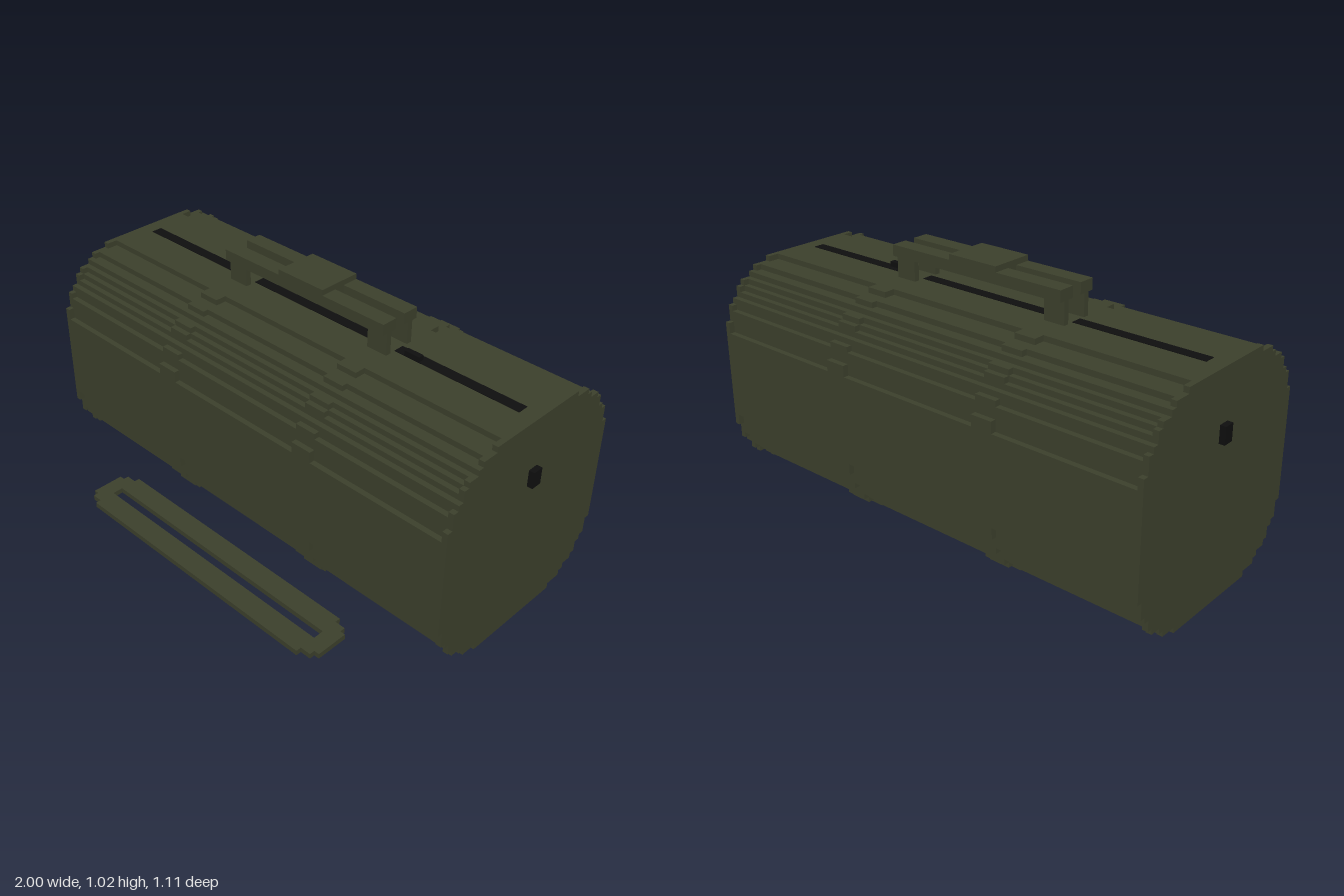
import * as THREE from 'three';

// Everything sits on a block grid: 46 blocks to one unit
const U = 1 / 46;
const BAG_Z = -0.118;
const BAG_Y = 20 * U;

const material = (name, color) => {
  const m = new THREE.MeshStandardMaterial({ color });
  m.name = name;
  return m;
};

// Stepped outline from one quadrant of corners [half width, half height]
function steppedShape(corners) {
  const quarter = [];
  corners.forEach(([a, b], i) => {
    if (i > 0) quarter.push([a, corners[i - 1][1]]);
    quarter.push([a, b]);
  });
  const back = [...quarter].reverse();
  const points = [
    ...quarter,
    ...back.map(([a, b]) => [-a, b]),
    ...quarter.map(([a, b]) => [-a, -b]),
    ...back.map(([a, b]) => [a, -b]),
  ];
  return new THREE.Shape(points.map(([a, b]) => new THREE.Vector2(a * U, b * U)));
}

export function createModel() {
  const fabric = material('olive fabric', 0x3c402c);
  const black = material('black trim', 0x0f0f0f);
  const model = new THREE.Group();
  model.name = 'duffelBag';

  const add = (parent, name, geometry, mat) => {
    const mesh = new THREE.Mesh(geometry, mat);
    mesh.name = name;
    parent.add(mesh);
    return mesh;
  };

  const bag = new THREE.Group();
  bag.name = 'bag';
  bag.position.set(0, BAG_Y, BAG_Z);
  model.add(bag);

  // Box from block limits, measured from the centre of the bag
  const box = (name, [x0, x1], [y0, y1], [z0, z1], mat) => {
    const g = new THREE.BoxGeometry((x1 - x0) * U, (y1 - y0) * U, (z1 - z0) * U);
    g.translate((x0 + x1) / 2 * U, (y0 + y1) / 2 * U, (z0 + z1) / 2 * U);
    return add(bag, name, g, mat);
  };

  // Body panels, with fuller bands and end rims between them
  const panelShape = steppedShape([[20, 8], [19, 12], [18, 14], [17, 15], [16, 16],
    [15, 17], [14, 18], [12, 19], [8, 20]]);
  const bandShape = steppedShape([[20, 10], [19, 13], [18, 14], [17, 16], [16, 17],
    [14, 18], [13, 19], [10, 20]]);
  const section = (name, shape, x0, x1) => {
    const g = new THREE.ExtrudeGeometry(shape, { depth: (x1 - x0) * U, bevelEnabled: false });
    g.rotateY(Math.PI / 2);
    g.translate(x0 * U, 0, 0);
    add(bag, name, g, fabric);
  };
  section('rightPanel', panelShape, -44, -18);
  section('middlePanel', panelShape, -14, 14);
  section('leftPanel', panelShape, 18, 44);
  section('rightRim', bandShape, -45, -44);
  section('leftRim', bandShape, 44, 45);
  section('rightBand', bandShape, -18, -14);
  section('leftBand', bandShape, 14, 18);

  // Zip along the top, interrupted by the bands
  for (const [x0, x1] of [[-42, -18], [-14, 14], [18, 42]]) {
    box('zip', [x0, x1], [19.9, 20.1], [-1, 1], black);
  }
  box('zipPull', [20, 23], [20, 21], [-0.05, 1], black);

  // Loops on the end faces
  box('rightEndLoop', [-46, -45], [8, 11], [-1, 1], black);
  box('leftEndLoop', [45, 46], [8, 11], [-1, 1], black);

  // Twin carry handles joined by a wrap
  for (const s of [-1, 1]) {
    const span = (a, b) => (s > 0 ? [a, b] : [-b, -a]);
    box('handleBar', [-18, 18], [24, 26], span(1, 4), fabric);
    for (const x of [-18, 14]) box('handleLeg', [x, x + 4], [20, 24], span(2, 3), fabric);
  }
  box('handleWrap', [-5, 5], [24, 27], [-4, 4], fabric);

  // Loose shoulder strap lying in front of the bag
  const strapShape = steppedShape([[29, 3], [28, 4], [26, 5]]);
  strapShape.holes.push(new THREE.Path([[-26, -1], [-26, 1], [26, 1], [26, -1]]
    .map(([x, y]) => new THREE.Vector2(x * U, y * U))));
  const strap = new THREE.ExtrudeGeometry(strapShape, { depth: U, bevelEnabled: false });
  strap.rotateX(-Math.PI / 2);
  add(model, 'shoulderStrap', strap, fabric).position.z = 0.444;

  return model;
}
